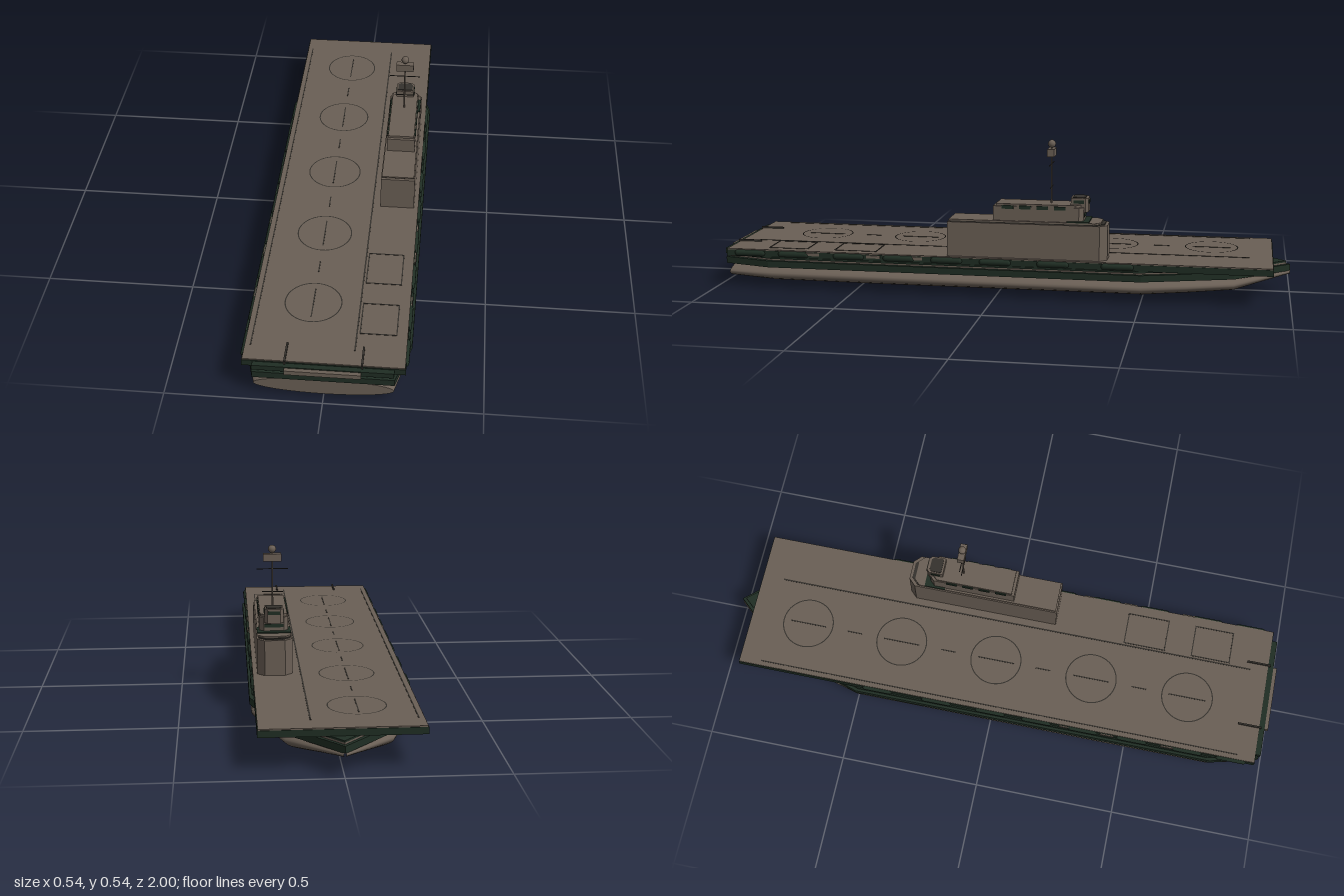
import * as THREE from 'three';

const mat = (name, color, side = THREE.FrontSide) => {
  const m = new THREE.MeshStandardMaterial({ color, side });
  m.name = name;
  return m;
};

export function createModel() {
  const ship = new THREE.Group();
  ship.name = 'carrierShip';
  const grey = mat('warm grey paint', 0x6a5f55);
  const green = mat('dark green', 0x1f2d23);
  const dark = mat('dark marking', 0x35322d);

  const add = (name, geo, material, x = 0, y = 0, z = 0, parent = ship) => {
    const m = new THREE.Mesh(geo, material);
    m.name = name;
    m.position.set(x, y, z);
    parent.add(m);
    return m;
  };
  // Box given by its limits on each axis
  const box = (name, material, x0, x1, y0, y1, z0, z1, parent) =>
    add(name, new THREE.BoxGeometry(x1 - x0, y1 - y0, z1 - z0), material,
      (x0 + x1) / 2, (y0 + y1) / 2, (z0 + z1) / 2, parent);
  // Plan outline of [x, z] points raised from y0 to y1
  const slab = (name, material, pts, y0, y1, parent) => {
    const shape = new THREE.Shape(pts.map(([x, z]) => new THREE.Vector2(x, -z)));
    const geo = new THREE.ExtrudeGeometry(shape, { depth: y1 - y0, bevelEnabled: false });
    geo.rotateX(-Math.PI / 2);
    return add(name, geo, material, 0, y0, 0, parent);
  };
  const mirrored = (half) => [...half, ...half.filter(p => p[0] > 0).reverse().map(([x, z]) => [-x, z])];

  // Hull: elliptical sections [z, half width, bottom y, top y], bow at -z
  const sections = [
    [-1, 0.004, 0.068, 0.08], [-0.9, 0.09, 0.043, 0.085], [-0.81, 0.168, 0.02, 0.09],
    [-0.65, 0.222, 0.011, 0.094], [-0.5, 0.262, 0.004, 0.097], [0.4, 0.263, 0.002, 0.097],
    [0.8, 0.262, 0.004, 0.095], [0.97, 0.22, 0.014, 0.076],
  ];
  const N = 40, pos = [], idx = [];
  for (const [z, w, b, t] of sections)
    for (let i = 0; i < N; i++) {
      const a = (i / N) * Math.PI * 2;
      pos.push(w * Math.cos(a), (b + t) / 2 + ((t - b) / 2) * Math.sin(a), z);
    }
  for (let s = 0; s < sections.length - 1; s++)
    for (let i = 0; i < N; i++) {
      const a = s * N + i, b = s * N + (i + 1) % N;
      idx.push(a, b, b + N, a, b + N, a + N);
    }
  const hullGeo = new THREE.BufferGeometry();
  hullGeo.setAttribute('position', new THREE.Float32BufferAttribute(pos, 3));
  hullGeo.setIndex(idx);
  hullGeo.computeVertexNormals();
  add('hull', hullGeo, grey);
  // Flat transom closing the stern
  const transom = new THREE.CircleGeometry(1, N);
  transom.scale(0.22, 0.031, 1);
  add('transom', transom, grey, 0, 0.045, 0.97);

  // Side band following the waterline plan, with a recess above it
  const plan = [[0, -1], [0.17, -0.81], [0.268, -0.5], [0.268, 0.81], [0.222, 0.98]];
  slab('sideBand', green, mirrored(plan), 0.078, 0.101);
  slab('galleryRecess', grey, mirrored(plan.map(([x, z]) => [x * 0.95, z * 0.985])), 0.101, 0.107);
  slab('galleryLip', green, mirrored(plan.map(([x, z]) => [x * 0.97, z * 0.985])), 0.107, 0.113);

  // Flight deck
  box('deckEdge', green, -0.255, 0.255, 0.112, 0.134, -0.94, 0.965);
  box('flightDeck', grey, -0.253, 0.253, 0.134, 0.138, -0.938, 0.963);
  box('sternGallery', green, -0.22, 0.22, 0.113, 0.131, 0.96, 0.983);
  box('sternRamp', grey, -0.119, 0.119, 0.112, 0.128, 0.96, 0.996);
  for (const s of [-1, 1]) {
    box('sternPost', dark, s * 0.12 - 0.003, s * 0.12 + 0.003, 0.125, 0.144, 0.885, 0.97);
    // Raft canisters and catwalk openings along the deck edge
    for (const z of [-0.42, -0.2, 0.0, 0.17, 0.34, 0.52, 0.72, 0.88]) {
      const raft = new THREE.CapsuleGeometry(0.011, 0.09, 4, 12);
      raft.rotateX(Math.PI / 2);
      add('raftCanister', raft, green, s * 0.252, 0.124, z);
    }
    for (const z of [0.28, 0.43, 0.65])
      box('catwalkOpening', grey, s * 0.256 - 0.003, s * 0.256 + 0.003, 0.122, 0.132, z - 0.025, z + 0.025);
  }

  // Deck markings
  const Y = 0.138, T = 0.0395 * 0.03;
  const stripe = (name, x0, x1, z0, z1) => box(name, dark, x0, x1, Y, Y + T, z0, z1);
  stripe('deckLine', 0.09, 0.095, -0.86, 0.9);
  stripe('deckLine', -0.237, -0.233, -0.86, 0.9);
  for (let i = 0; i < 5; i++) {
    const z = 0.69 - i * 0.354;
    const ring = new THREE.RingGeometry(0.09, 0.094, 48);
    ring.rotateX(-Math.PI / 2);
    add('landingCircle', ring, dark, -0.06, Y + T, z);
    stripe('landingLine', -0.062, -0.058, z - 0.067, z + 0.067);
    if (i < 4) stripe('centreDash', -0.062, -0.058, z - 0.205, z - 0.15);
  }
  for (const [z0, z1] of [[0.43, 0.58], [0.68, 0.82]]) {
    for (const x of [0.1, 0.216]) stripe('liftOutline', x, x + 0.004, z0, z1);
    for (const z of [z0, z1]) stripe('liftOutline', 0.1, 0.22, z - 0.002, z + 0.002);
  }

  // Island superstructure
  const island = new THREE.Group();
  island.name = 'island';
  ship.add(island);
  const tier = (name, m, x0, x1, y0, y1, z0, z1, c) => slab(name, m,
    [[x0 + c, z0], [x1 - c, z0], [x1, z0 + c], [x1, z1], [x0, z1], [x0, z0 + c]], y0, y1, island);
  tier('islandBase', grey, 0.12, 0.238, 0.138, 0.258, -0.382, 0.17, 0.025);
  tier('islandRoofLine', dark, 0.126, 0.232, 0.258, 0.262, -0.372, 0.16, 0.025);
  tier('islandRoof', grey, 0.123, 0.235, 0.262, 0.267, -0.36, 0.165, 0.02);
  tier('upperTier', grey, 0.13, 0.228, 0.267, 0.317, -0.3, 0.01, 0.015);
  tier('upperRoof', grey, 0.133, 0.225, 0.317, 0.325, -0.29, 0.0, 0.015);
  tier('bridge', grey, 0.147, 0.21, 0.3, 0.348, -0.315, -0.255, 0.01);
  tier('bridgeRoof', dark, 0.152, 0.205, 0.348, 0.351, -0.305, -0.262, 0.008);
  box('bridgeWing', green, 0.122, 0.236, 0.267, 0.271, -0.32, -0.245, island);
  box('bridgeWindow', green, 0.158, 0.199, 0.33, 0.341, -0.317, -0.313, island);
  box('upperWindow', green, 0.147, 0.211, 0.283, 0.294, -0.302, -0.298, island);
  for (const [x, s] of [[0.13, -1], [0.228, 1]]) {
    for (let i = 0; i < 4; i++) {
      const z = -0.22 + i * 0.06;
      box('roofRail', green, x - 0.002, x + 0.002, 0.308, 0.32, z - 0.02, z + 0.02, island);
    }
    const bx = s < 0 ? 0.147 : 0.21;
    box('bridgeSideWindow', green, bx - 0.002, bx + 0.002, 0.33, 0.341, -0.3, -0.265, island);
  }

  // Mast with yards, radar and dome
  const mast = new THREE.Group();
  mast.name = 'mast';
  mast.position.set(0.179, 0, -0.185);
  ship.add(mast);
  add('mastPole', new THREE.CylinderGeometry(0.0025, 0.0032, 0.2, 10), grey, 0, 0.42, 0, mast);
  for (const [y, len] of [[0.38, 0.072], [0.46, 0.108]]) {
    const yard = new THREE.CylinderGeometry(0.0016, 0.0016, len, 8);
    yard.rotateZ(Math.PI / 2);
    add('yard', yard, dark, 0, y, 0, mast);
  }
  box('radarPanel', grey, -0.031, 0.031, 0.487, 0.513, -0.012, 0.012, mast);
  add('radarDome', new THREE.SphereGeometry(0.0135, 20, 14), grey, 0, 0.529, 0, mast);
  return ship;
}
